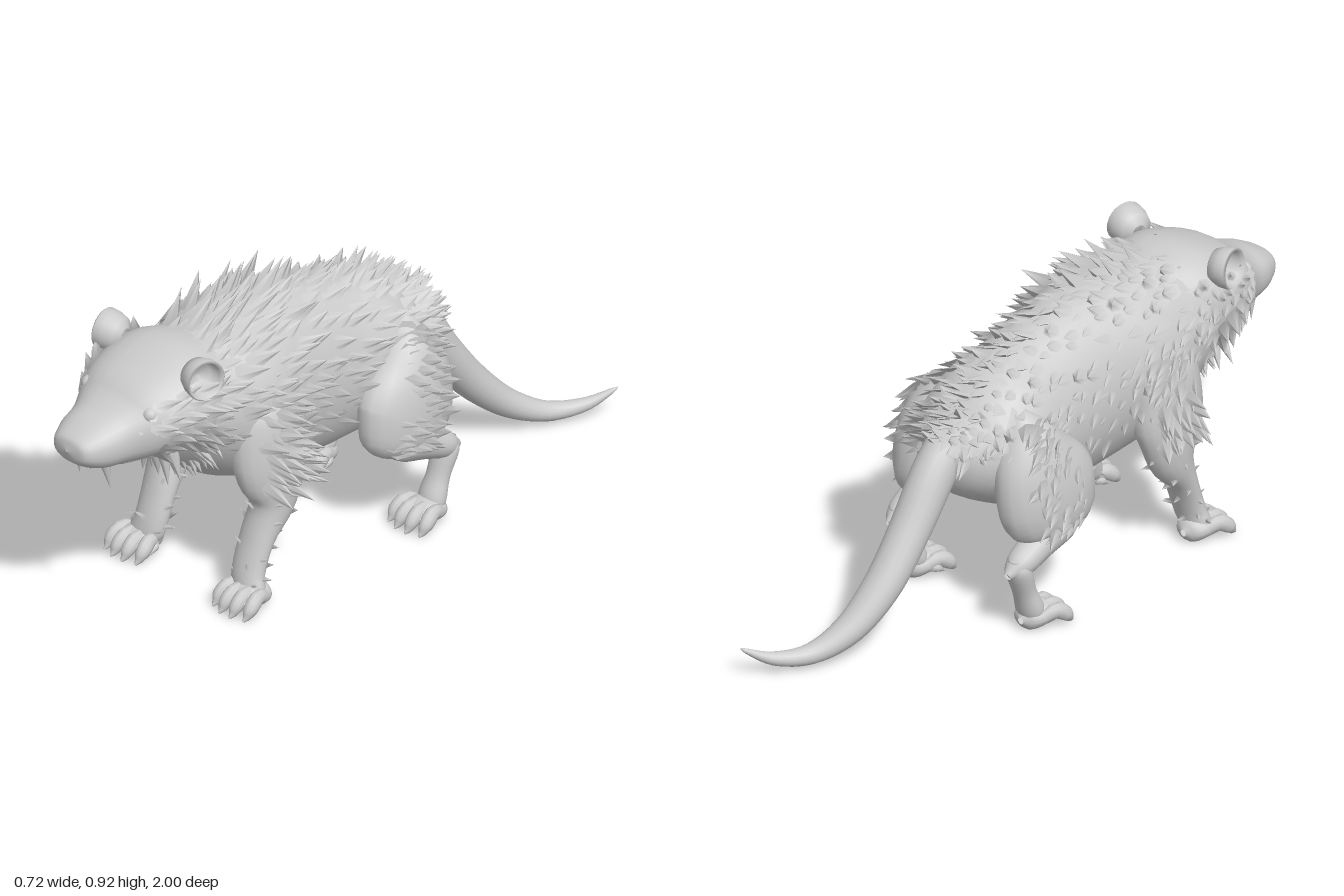
import * as THREE from 'three';
import { mergeGeometries } from 'three/addons/utils/BufferGeometryUtils.js';

const V = (x, y, z) => new THREE.Vector3(x, y, z);
const X = V(1, 0, 0);
const fur = new THREE.MeshStandardMaterial({ color: 0xcccccc, side: THREE.DoubleSide });
fur.name = 'grey fur';

let seed = 7;
const rnd = (a = 0, b = 1) => {
  seed = (seed * 16807) % 2147483647;
  return a + (b - a) * seed / 2147483647;
};

// Smooth tube through cross-sections [x, y, z, half width, half depth]; pow < 1 gives boxier sections
function surface(rows, pow = 1) {
  const path = new THREE.CatmullRomCurve3(rows.map(r => V(r[0], r[1], r[2])));
  const size = new THREE.CatmullRomCurve3(rows.map(r => V(r[3], r[4], 0)), false, 'catmullrom', 0.5);
  const bend = c => Math.sign(c) * Math.abs(c) ** pow;
  return (u, a) => {
    const n = V(0, 0, 0).crossVectors(X, path.getTangent(u)).normalize();
    const s = size.getPoint(u), c = bend(Math.cos(a)), d = bend(Math.sin(a));
    const rx = Math.max(s.x, 0.002), ry = Math.max(s.y, 0.002);
    return {
      p: path.getPoint(u).addScaledVector(X, rx * c).addScaledVector(n, ry * d),
      n: n.clone().multiplyScalar(d / ry).addScaledVector(X, c / rx).normalize(),
    };
  };
}

function loft(surf, steps = 28, sides = 20) {
  const pos = [], idx = [];
  for (let i = 0; i <= steps; i++)
    for (let j = 0; j < sides; j++) pos.push(...surf(i / steps, j / sides * Math.PI * 2).p.toArray());
  for (let i = 0; i < steps; i++)
    for (let j = 0; j < sides; j++) {
      const a = i * sides + j, b = i * sides + (j + 1) % sides;
      idx.push(a, a + sides, b, b, a + sides, b + sides);
    }
  const g = new THREE.BufferGeometry();
  g.setAttribute('position', new THREE.Float32BufferAttribute(pos, 3));
  g.setIndex(idx);
  g.computeVertexNormals();
  return g;
}

// Cone sheared towards dir, its base lying flat on a surface with normal n
function spike(p, dir, len, r, n = dir.clone().add(V(0.01, 0.02, 0.1))) {
  const up = n.clone().normalize(), lean = dir.clone().normalize();
  const across = V(0, 0, 0).crossVectors(up, lean).normalize();
  const along = V(0, 0, 0).crossVectors(up, across);
  const m = new THREE.Matrix4().makeBasis(
    along.multiplyScalar(r * 1.3), lean.multiplyScalar(len), across.multiplyScalar(r));
  m.setPosition(p.clone().addScaledVector(up, -0.007));
  return new THREE.ConeGeometry(1, 1, 6, 1, true).translate(0, 0.5, 0).applyMatrix4(m);
}

// Flared tuft whose base shading melts into the skin
function tuft(p, dir, len, r, n) {
  const g = spike(p, dir, len, r, n), normal = g.attributes.normal;
  for (let i = 7; i < 14; i++) normal.setXYZ(i, n.x, n.y, n.z);
  return g;
}

// Tufts scattered on a surface: ranges of u and angle, length, radius, outward lift
function tufts(surf, count, [u0, u1], [a0, a1], [l0, l1], r, lift, flow = V(0, -0.1, -1)) {
  const list = [];
  for (let i = 0; i < count; i++) {
    const spread = (i * 0.618034 + rnd(0, 0.08)) % 1;
    const { p, n } = surf(u0 + (u1 - u0) * (i + rnd()) / count, a0 + (a1 - a0) * spread);
    const dir = flow.clone().add(V(rnd(-0.35, 0.35), rnd(-0.35, 0.35), 0)).addScaledVector(n, lift * rnd(0.7, 1.4));
    list.push(tuft(p, dir, rnd(l0, l1), r * rnd(0.7, 1.2), n));
  }
  return mergeGeometries(list);
}

export function createModel() {
  const model = new THREE.Group();
  model.name = 'spinyRodent';
  const add = (name, g) => {
    const m = new THREE.Mesh(g, fur);
    m.name = name;
    model.add(m);
    return m;
  };
  const PI = Math.PI;

  // Torso
  const torso = surface([
    [0, 0.66, 0.69, 0.1, 0.08], [0, 0.65, 0.62, 0.19, 0.165], [0, 0.615, 0.5, 0.22, 0.23],
    [0, 0.585, 0.37, 0.235, 0.27], [0, 0.555, 0.2, 0.205, 0.282], [0, 0.525, 0, 0.195, 0.26],
    [0, 0.52, -0.15, 0.21, 0.225], [0, 0.52, -0.27, 0.175, 0.155], [0, 0.53, -0.35, 0.09, 0.085],
    [0, 0.53, -0.385, 0.01, 0.01]]);
  add('torso', loft(torso, 40, 28));
  add('backFur', tufts(torso, 270, [0.1, 0.92], [0.1, PI - 0.1], [0.055, 0.085], 0.024, 0.5));
  add('leftFlankFur', tufts(torso, 70, [0.1, 0.62], [-0.5, 0.4], [0.05, 0.075], 0.022, 0.5));
  add('rightFlankFur', tufts(torso, 70, [0.1, 0.62], [PI - 0.4, PI + 0.5], [0.05, 0.075], 0.022, 0.5));
  add('crest', tufts(torso, 38, [0.13, 0.42], [PI * 0.32, PI * 0.68], [0.085, 0.13], 0.022, 1.1));
  add('spineFur', tufts(torso, 34, [0.4, 0.93], [PI * 0.44, PI * 0.56], [0.07, 0.095], 0.022, 0.6));
  add('rumpFur', tufts(torso, 24, [0.78, 0.92], [0, PI], [0.06, 0.085], 0.024, 0.45));

  // Head
  const head = surface([
    [0, 0.62, 1, 0.002, 0.002], [0, 0.62, 0.99, 0.062, 0.036], [0, 0.62, 0.93, 0.1, 0.07],
    [0, 0.626, 0.86, 0.12, 0.088], [0, 0.64, 0.79, 0.16, 0.108], [0, 0.665, 0.71, 0.195, 0.135],
    [0, 0.67, 0.62, 0.207, 0.163], [0, 0.66, 0.53, 0.18, 0.16]], 0.85);
  add('head', loft(head, 32, 28));
  add('headFur', tufts(head, 34, [0.3, 0.85], [0, PI], [0.025, 0.04], 0.01, 0.35));
  for (const [a, side] of [[0, 'left'], [PI, 'right']])
    add(side + 'CheekFur', tufts(head, 36, [0.58, 0.93], [a - 0.7, a + 0.7], [0.055, 0.085], 0.021, 0.9, V(0, -0.1, -0.8)));

  // Lower jaw, teeth and throat tufts
  add('lowerJaw', loft(surface([
    [0, 0.535, 0.835, 0.01, 0.005], [0, 0.532, 0.82, 0.045, 0.02], [0, 0.532, 0.75, 0.07, 0.026],
    [0, 0.54, 0.66, 0.11, 0.05], [0, 0.56, 0.57, 0.12, 0.06]]), 14, 14));
  const teeth = [];
  for (const s of [-1, 1]) {
    teeth.push(spike(V(s * 0.055, 0.56, 0.9), V(s * 0.1, -1, -0.15), 0.09, 0.014));
    teeth.push(spike(V(s * 0.02, 0.565, 0.925), V(0, -1, 0), 0.035, 0.012));
    teeth.push(spike(V(s * 0.03, 0.535, 0.81), V(0, 1, 0.3), 0.035, 0.008));
  }
  add('teeth', mergeGeometries(teeth));
  const beard = [];
  for (let i = 0; i < 34; i++) {
    const a = -1.2 + 2.4 * ((i * 0.618034) % 1), z = rnd(0.57, 0.67);
    beard.push(spike(V(Math.sin(a) * 0.15, 0.6 - Math.cos(a) * 0.1, z),
      V(Math.sin(a) * 0.55, -Math.cos(a), rnd(-0.35, 0.05)), rnd(0.08, 0.125), 0.021));
  }
  add('throatFur', mergeGeometries(beard));

  // Tail
  add('tail', loft(surface([
    [0, 0.58, -0.3, 0.06, 0.06], [0, 0.485, -0.385, 0.064, 0.068], [0, 0.35, -0.48, 0.062, 0.06],
    [0.005, 0.2, -0.6, 0.058, 0.053], [0.03, 0.095, -0.715, 0.048, 0.042], [0.075, 0.045, -0.82, 0.036, 0.03],
    [0.13, 0.05, -0.92, 0.024, 0.02], [0.175, 0.088, -0.99, 0.008, 0.007], [0.182, 0.096, -1, 0.002, 0.002]]), 36, 18));

  // Paw with four toes and claws, centred at x, heel at z
  function paw(name, x, z, s) {
    const parts = [loft(surface([
      [x, 0.035, z - 0.01, 0.01, 0.01], [x, 0.035, z + 0.01, 0.045, 0.033],
      [x, 0.042, z + 0.07, 0.062, 0.037], [x, 0.032, z + 0.115, 0.05, 0.022]]), 10, 14)];
    for (let i = 0; i < 4; i++) {
      const k = i - 1.5, dz = 0.015 * Math.abs(k), tx = x + k * 0.042;
      parts.push(loft(surface([
        [x + k * 0.03, 0.04, z + 0.04, 0.016, 0.02], [x + k * 0.037, 0.055, z + 0.1 - dz, 0.021, 0.025],
        [tx, 0.034, z + 0.135 - dz, 0.02, 0.022], [tx, 0.015, z + 0.15 - dz, 0.012, 0.013],
        [tx, 0.004, z + 0.165 - dz, 0.002, 0.002]]), 10, 10));
    }
    parts.push(loft(surface([
      [x - s * 0.03, 0.045, z + 0.03, 0.014, 0.014], [x - s * 0.06, 0.035, z + 0.06, 0.014, 0.014],
      [x - s * 0.065, 0.015, z + 0.09, 0.002, 0.002]]), 8, 8));
    add(name, mergeGeometries(parts));
  }

  for (const [s, side] of [[1, 'left'], [-1, 'right']]) {
    const out = s > 0 ? [-0.6, 0.6] : [PI - 0.6, PI + 0.6];

    // Ear cup opening sideways
    const ear = add(side + 'Ear', new THREE.LatheGeometry([
      [0.022, -0.045], [0.05, -0.03], [0.06, 0], [0.062, 0.028], [0.056, 0.034], [0.05, 0.02], [0.038, -0.012], [0, -0.02],
    ].map(p => new THREE.Vector2(...p)), 24));
    ear.position.set(s * 0.182, 0.797, 0.645);
    ear.quaternion.setFromUnitVectors(V(0, 1, 0), V(s * 0.97, 0.06, 0.22).normalize());

    // Eye
    const eye = add(side + 'Eye', new THREE.SphereGeometry(0.024, 14, 10));
    eye.position.set(s * 0.125, 0.708, 0.79);

    // Front leg
    const fore = surface([
      [s * 0.13, 0.68, 0.36, 0.06, 0.06], [s * 0.165, 0.6, 0.37, 0.085, 0.12], [s * 0.183, 0.5, 0.385, 0.085, 0.13],
      [s * 0.2, 0.4, 0.385, 0.072, 0.122], [s * 0.208, 0.3, 0.387, 0.06, 0.078], [s * 0.2, 0.2, 0.437, 0.058, 0.042],
      [s * 0.2, 0.1, 0.473, 0.057, 0.037], [s * 0.212, 0.05, 0.485, 0.058, 0.035], [s * 0.218, 0.02, 0.49, 0.02, 0.015]]);
    add(side + 'FrontLeg', loft(fore));
    add(side + 'ShoulderFur', tufts(fore, 26, [0.08, 0.3], out, [0.055, 0.08], 0.023, 0.5, V(0, -0.35, -0.8)));
    add(side + 'ElbowFur', tufts(fore, 22, [0.24, 0.4], out, [0.07, 0.11], 0.023, 1.2, V(0, -0.25, -0.6)));
    add(side + 'FrontLegFur', tufts(fore, 26, [0.44, 0.84], [0, PI * 2], [0.025, 0.04], 0.01, 0.9, V(0, 0.2, -0.6)));
    paw(side + 'FrontPaw', s * 0.222, 0.435, s);

    // Hind leg: thigh, shank and hock
    const thigh = surface([
      [s * 0.15, 0.66, -0.19, 0.02, 0.02], [s * 0.165, 0.6, -0.18, 0.08, 0.08], [s * 0.19, 0.5, -0.165, 0.095, 0.145],
      [s * 0.205, 0.4, -0.135, 0.095, 0.175], [s * 0.215, 0.32, -0.105, 0.08, 0.145], [s * 0.22, 0.275, -0.1, 0.05, 0.08],
      [s * 0.22, 0.26, -0.1, 0.01, 0.02]]);
    add(side + 'Thigh', loft(thigh));
    add(side + 'ThighFur', tufts(thigh, 48, [0.08, 0.75], out, [0.045, 0.07], 0.021, 0.45, V(0, -0.3, -1)));
    add(side + 'Shank', loft(surface([
      [s * 0.228, 0.335, -0.06, 0.03, 0.04], [s * 0.228, 0.31, -0.11, 0.06, 0.07], [s * 0.228, 0.26, -0.2, 0.05, 0.05],
      [s * 0.228, 0.225, -0.275, 0.042, 0.04], [s * 0.228, 0.205, -0.325, 0.012, 0.012]]), 18, 16));
    add(side + 'Hock', loft(surface([
      [s * 0.228, 0.25, -0.295, 0.02, 0.015], [s * 0.228, 0.215, -0.28, 0.042, 0.036], [s * 0.225, 0.13, -0.25, 0.038, 0.032],
      [s * 0.225, 0.06, -0.225, 0.046, 0.036], [s * 0.225, 0.015, -0.215, 0.025, 0.02]]), 18, 16));
    paw(side + 'HindPaw', s * 0.225, -0.255, s);
  }
  return model;
}
